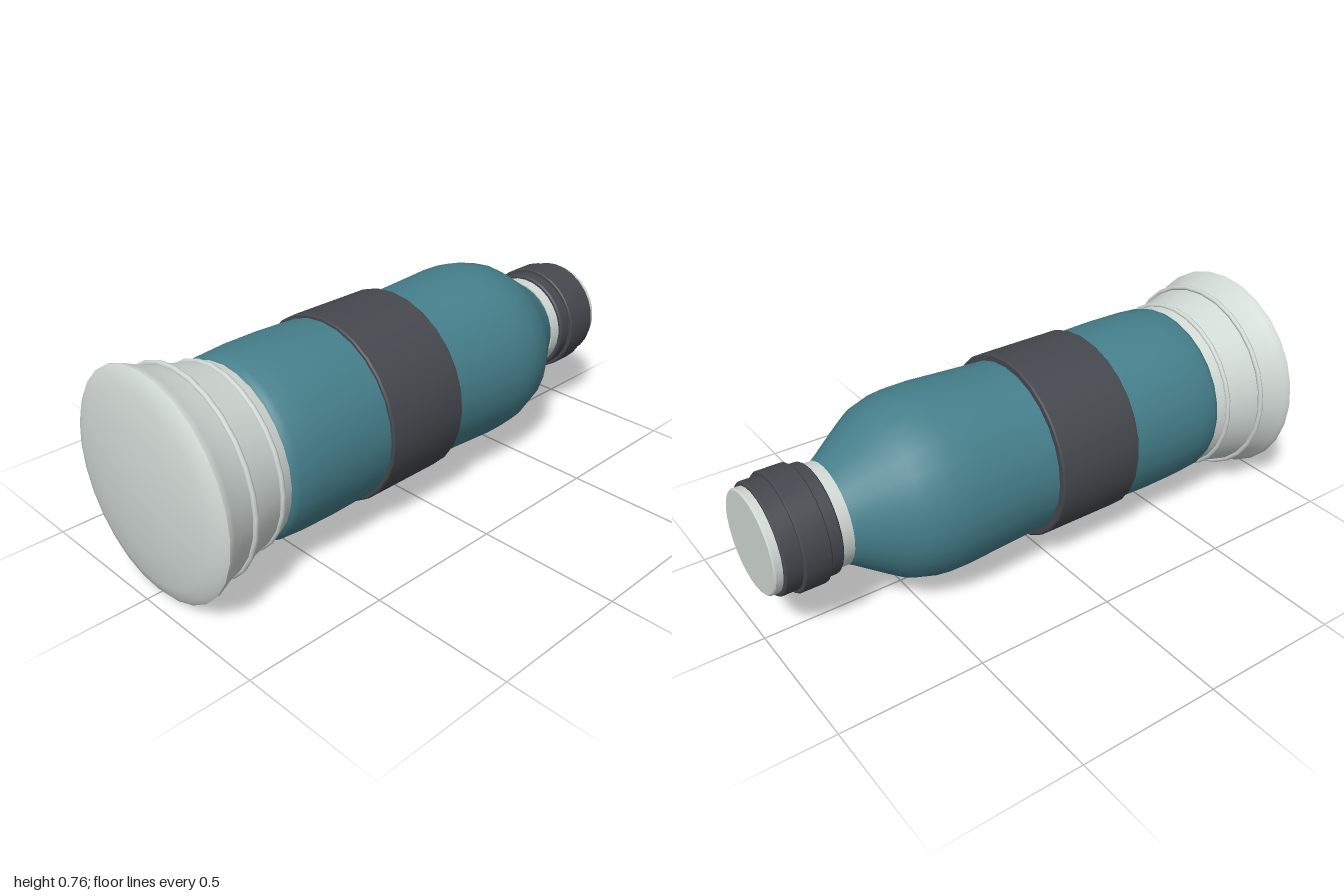
import * as THREE from 'three';
import { toCreasedNormals } from 'three/addons/utils/BufferGeometryUtils.js';

const SIDES = 28;
const AXIS_Y = 0.379;

function material(name, color) {
  const m = new THREE.MeshStandardMaterial({ color });
  m.name = name;
  return m;
}

export function createModel() {
  const teal = material('teal', 0x457f8b);
  const dark = material('charcoal', 0x45484e);
  const pale = material('paleGrey', 0xd0d8d4);

  const bottle = new THREE.Group();
  bottle.name = 'bottle';

  function add(name, geometry, mat) {
    const mesh = new THREE.Mesh(geometry, mat);
    mesh.name = name;
    mesh.position.y = AXIS_Y;
    bottle.add(mesh);
    return mesh;
  }

  // Turned part lying along z; profile is [z, radius] from back to front
  function turned(name, mat, profile, crease = 0.5) {
    const points = profile.map(([z, r]) => new THREE.Vector2(r, z));
    const geometry = new THREE.LatheGeometry(points, SIDES).rotateX(Math.PI / 2);
    return add(name, toCreasedNormals(geometry, crease), mat);
  }

  // Body with a soft waist and rounded shoulder
  turned('body', teal, [
    [-0.74, 0], [-0.74, 0.165], [-0.70, 0.19], [-0.65, 0.224], [-0.60, 0.258],
    [-0.55, 0.29], [-0.47, 0.313], [-0.42, 0.319], [-0.35, 0.32], [-0.2, 0.312],
    [-0.05, 0.305], [0.1, 0.308], [0.27, 0.316], [0.42, 0.32], [0.55, 0.318],
    [0.63, 0.312], [0.65, 0.305], [0.66, 0.295], [0.66, 0],
  ], 0.7);

  // Grip sleeve round the waist
  turned('gripBand', dark, [
    [-0.056, 0.29], [-0.056, 0.324], [-0.051, 0.329],
    [0.26, 0.329], [0.265, 0.324], [0.265, 0.29],
  ]);

  // Flared base with a slightly domed underside
  turned('flaredBase', pale, [
    [0.655, 0], [0.655, 0.297], [0.69, 0.304], [0.76, 0.321], [0.83, 0.34],
    [0.88, 0.354], [0.92, 0.371], [0.935, 0.378], [0.945, 0.379], [0.958, 0.362],
    [0.974, 0.315], [0.989, 0.2], [0.997, 0.1], [1, 0],
  ], 0.7);

  // Raised rings on the base
  for (const [z, r] of [[0.7, 0.308], [0.828, 0.344]]) {
    add('baseRing', new THREE.TorusGeometry(r, 0.009, 8, SIDES), pale).position.z = z;
  }

  // Neck running through the collar, closed by a flat tip
  turned('neck', pale, [
    [-1, 0], [-1, 0.168], [-0.995, 0.173], [-0.735, 0.173], [-0.735, 0],
  ]);

  // Stepped collar with a wider middle
  turned('collar', dark, [
    [-0.972, 0.165], [-0.972, 0.181], [-0.967, 0.186], [-0.914, 0.186],
    [-0.914, 0.195], [-0.91, 0.199], [-0.826, 0.199], [-0.822, 0.195],
    [-0.822, 0.186], [-0.782, 0.186], [-0.777, 0.181], [-0.777, 0.165],
  ]);

  return bottle;
}
